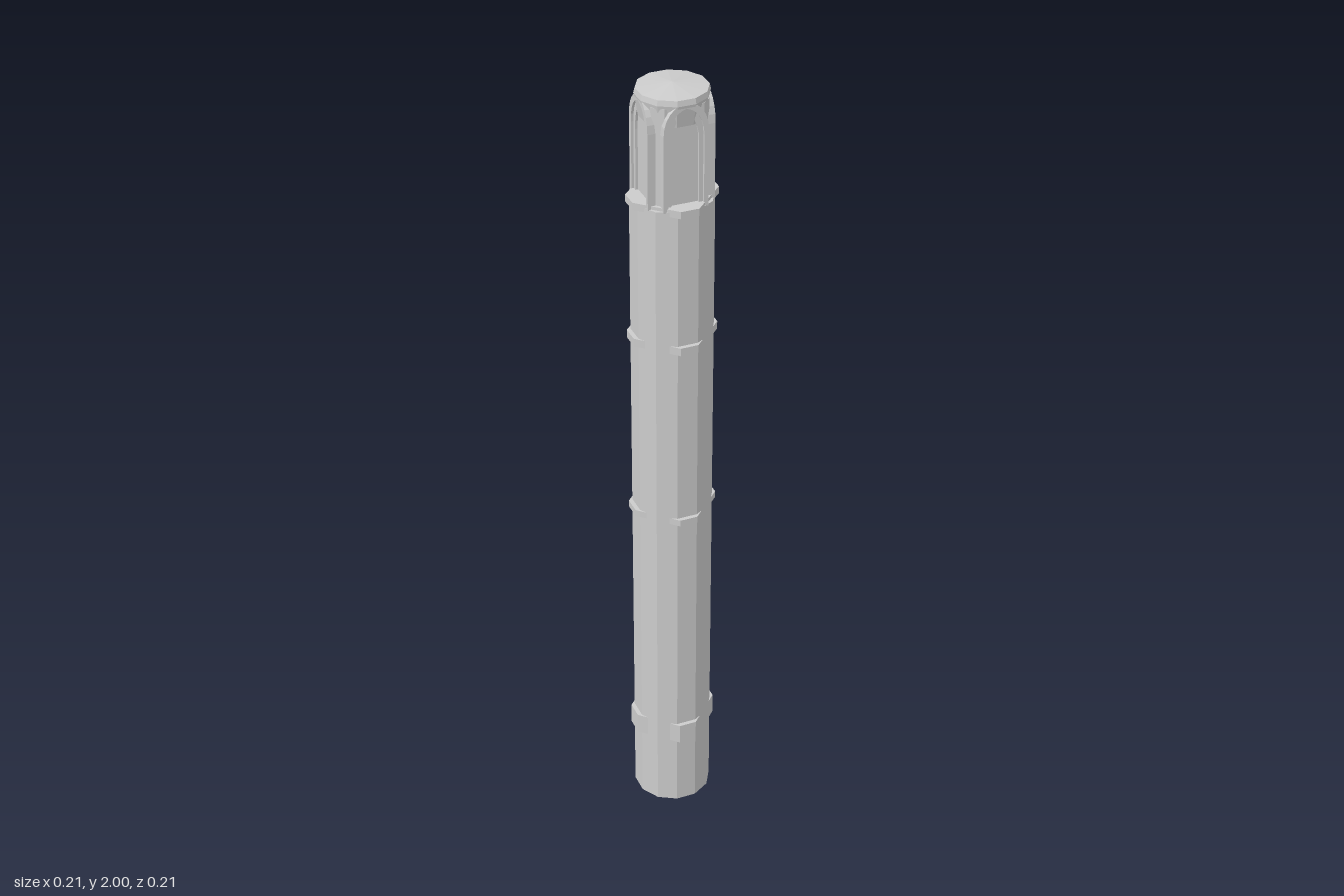
import * as THREE from 'three';

const material = new THREE.MeshStandardMaterial({ color: 0xcccccc, flatShading: true });

// Closed plan outline from one quarter, repeated around y
function ring(quarter) {
  const pts = [];
  for (let k = 0; k < 4; k++) {
    const c = Math.cos(k * Math.PI / 2), s = Math.sin(k * Math.PI / 2);
    for (const [x, y] of quarter) pts.push(new THREE.Vector2(x * c - y * s, x * s + y * c));
  }
  return pts;
}

// Upright prism between two heights
function prism(quarter, y0, y1) {
  const g = new THREE.ExtrudeGeometry(new THREE.Shape(ring(quarter)), { depth: y1 - y0, bevelEnabled: false });
  return g.rotateX(-Math.PI / 2).translate(0, y0, 0);
}

// Twelve-sided section with flats towards the four main directions
function drum(rTop, rBottom, y0, y1) {
  return new THREE.CylinderGeometry(rTop, rBottom, y1 - y0, 12).rotateY(Math.PI / 12).translate(0, (y0 + y1) / 2, 0);
}

// Pointed arch outline: straight sides up to the spring, curved to the tip
function arch(path, w, base, spring, tip) {
  path.moveTo(-w, base);
  path.lineTo(w, base);
  path.lineTo(w, spring);
  path.bezierCurveTo(w, spring + (tip - spring) * 0.6, w * 0.55, tip - 0.006, 0, tip);
  path.bezierCurveTo(-w * 0.55, tip - 0.006, -w, spring + (tip - spring) * 0.6, -w, spring);
  path.lineTo(-w, base);
  return path;
}

function archFrame(outer, inner, z0, z1) {
  const shape = arch(new THREE.Shape(), ...outer);
  shape.holes.push(arch(new THREE.Path(), ...inner));
  return new THREE.ExtrudeGeometry(shape, { depth: z1 - z0, bevelEnabled: false, curveSegments: 6 }).translate(0, 0, z0);
}

export function createModel() {
  const model = new THREE.Group();
  const add = (name, geometry, parent = model) => {
    const mesh = new THREE.Mesh(geometry, material);
    mesh.name = name;
    parent.add(mesh);
    return mesh;
  };

  // Shaft
  add('shaft', drum(0.098, 0.098, 0, 1.727));

  // Bands, proud of the shaft on the four main sides
  const bandPlan = [[0.105, -0.022], [0.105, 0.022]];
  const bands = [[0.2, 0.255], [0.883, 0.9], [1.363, 1.383], [1.717, 1.735]];
  bands.forEach(([y0, y1], i) => add('band' + (i + 1), prism(bandPlan, y0, y1)));

  // Head core with chamfered corners
  add('headCore', prism([[0.069, -0.047], [0.069, 0.047]], 1.72, 1.97));

  // Stepped arch frames on each side of the head
  for (let k = 0; k < 4; k++) {
    const side = new THREE.Group();
    side.name = 'archSide' + (k + 1);
    side.rotation.y = k * Math.PI / 2;
    add('outerArch', archFrame([0.054, 1.725, 1.91, 1.985], [0.043, 1.735, 1.9, 1.97], 0.06, 0.081), side);
    add('innerArch', archFrame([0.045, 1.725, 1.9, 1.972], [0.033, 1.735, 1.885, 1.955], 0.06, 0.075), side);
    model.add(side);
  }

  // Flared neck and shallow domed cap
  add('capNeck', drum(0.085, 0.076, 1.925, 1.978));
  add('capRim', drum(0.083, 0.086, 1.978, 1.991));
  add('capTop', drum(0.0, 0.083, 1.991, 2.0));

  return model;
}
